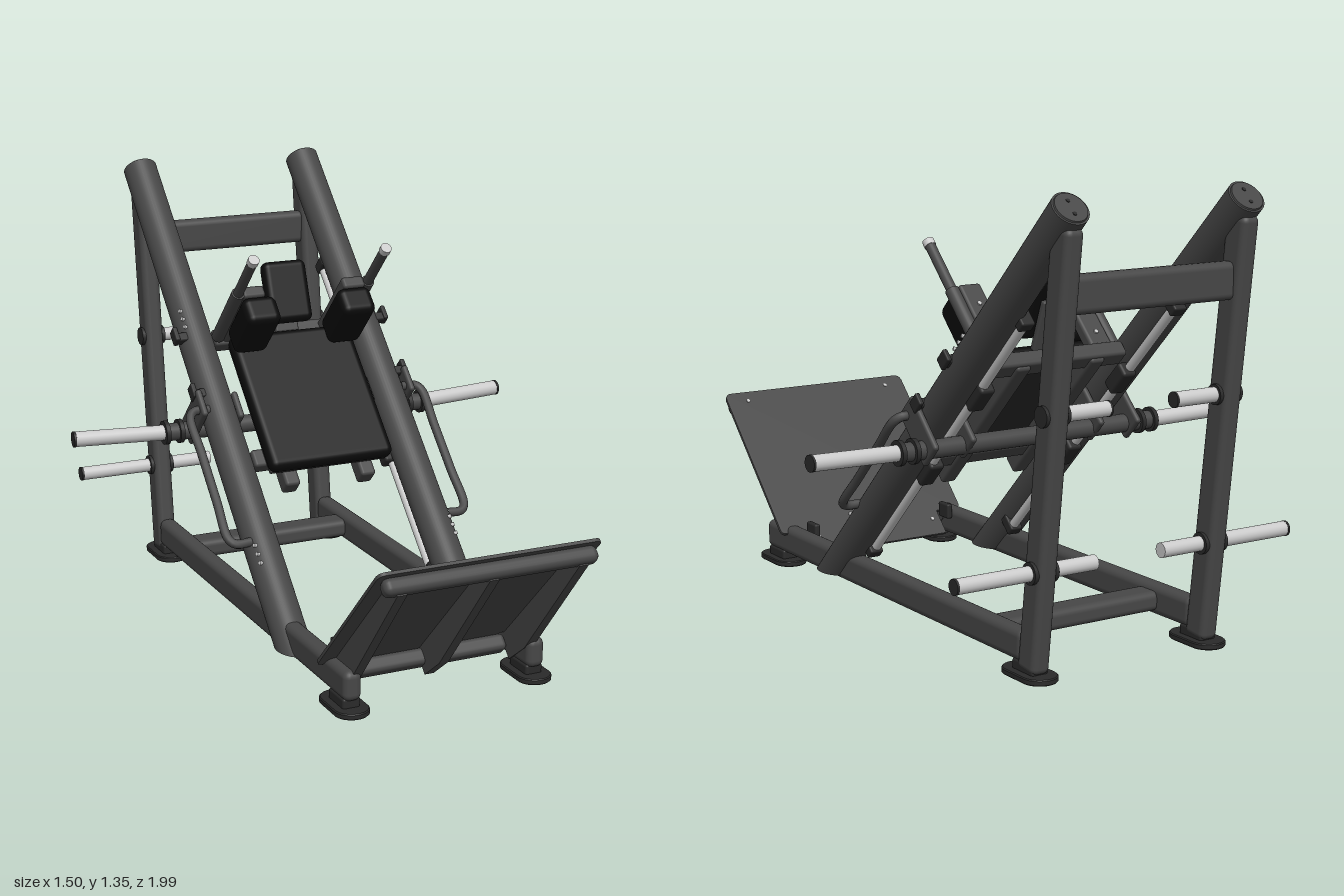
import * as THREE from 'three';
import { RoundedBoxGeometry } from 'three/addons/geometries/RoundedBoxGeometry.js';

const material = (name, color) => Object.assign(new THREE.MeshStandardMaterial({ color }), { name });

export function createModel() {
  const frame = material('charcoalFrame', 0x474747);
  const dark = material('darkFittings', 0x2a2a2a);
  const pad = material('blackUpholstery', 0x0b0b0b);
  const steel = material('brightSteel', 0xcacaca);
  const model = new THREE.Group();
  model.name = 'legPressMachine';
  const V = (x, y, z) => new THREE.Vector3(x, y, z);

  const add = (parent, name, geo, mat, pos = [0, 0, 0], rx = 0) => {
    const m = new THREE.Mesh(geo, mat);
    m.name = name;
    m.position.set(...pos);
    m.rotation.x = rx;
    parent.add(m);
    return m;
  };
  // Rounded block given by its centre and size
  const block = (parent, name, mat, pos, size, r = 0.01, rx = 0) =>
    add(parent, name, new RoundedBoxGeometry(...size, 3, r), mat, pos, rx);
  // Round bar between two points
  const bar = (parent, name, mat, a, b, r, sides = 24) => {
    const p = V(...a), q = V(...b), d = q.clone().sub(p);
    const m = add(parent, name, new THREE.CylinderGeometry(r, r, d.length(), sides), mat);
    m.position.copy(p).add(q).multiplyScalar(0.5);
    m.quaternion.setFromUnitVectors(V(0, 1, 0), d.normalize());
    return m;
  };
  const group = (name, pos, rx) => {
    const g = new THREE.Group();
    g.name = name;
    g.position.set(...pos);
    g.rotation.x = rx;
    model.add(g);
    return g;
  };

  // Inclined frame of reference: y runs up the rails, z points out of the pad
  const incline = group('inclinedAssembly', [0, 0.05, 0.3], -Math.PI / 4);
  const railLength = 1.777;

  // Rail tube with its lower end cut level with the floor
  const railGeo = new THREE.CylinderGeometry(0.055, 0.055, railLength, 40);
  railGeo.translate(0, railLength / 2, 0);
  const rp = railGeo.attributes.position;
  for (let i = 0; i < rp.count; i++) if (rp.getY(i) < 0.001) rp.setY(i, -rp.getZ(i));

  // Oval foot outline
  const footShape = new THREE.Shape();
  footShape.absarc(0, 0.045, 0.05, 0, Math.PI);
  footShape.absarc(0, -0.045, 0.05, Math.PI, Math.PI * 2);
  const footGeo = new THREE.ExtrudeGeometry(footShape, {
    depth: 0.012, bevelEnabled: true, bevelSize: 0.003, bevelThickness: 0.003, bevelSegments: 1, curveSegments: 16 });
  footGeo.rotateX(-Math.PI / 2).translate(0, 0.003, 0);

  for (const s of [-1, 1]) {
    const x = s * 0.295;
    // Main frame
    add(incline, 'rail', railGeo, frame, [x, 0, 0]);
    add(incline, 'railCap', new THREE.CylinderGeometry(0.048, 0.05, 0.006, 32), frame, [x, railLength + 0.002, 0]);
    for (const h of [-0.022, 0.022])
      add(incline, 'capHole', new THREE.CylinderGeometry(0.006, 0.006, 0.004, 12), dark, [x, railLength + 0.005, h]);
    block(model, 'baseRail', frame, [x, 0.085, -0.03], [0.056, 0.092, 1.5], 0.022);
    const dy = 1.24, dz = -0.145;
    block(model, 'rearLeg', frame, [x, 0.02 + dy / 2, -0.8 + dz / 2], [0.06, Math.hypot(dy, dz), 0.085], 0.02, Math.atan2(dz, dy));
    for (const z of [0.655, -0.785]) {
      add(model, 'foot', footGeo, dark, [x, 0, z]);
      block(model, 'footMount', dark, [x, 0.03, z], [0.055, 0.035, 0.1], 0.008);
    }

    // Plate storage pegs on the rear legs
    bar(model, 'lowerStoragePeg', steel, [s * 0.115, 0.31, -0.835], [s * 0.57, 0.31, -0.835], 0.022);
    bar(model, 'lowerPegCap', dark, [s * 0.57, 0.31, -0.835], [s * 0.577, 0.31, -0.835], 0.023);
    bar(model, 'lowerPegCollar', dark, [s * 0.255, 0.31, -0.835], [s * 0.335, 0.31, -0.835], 0.032);
    bar(model, 'upperStoragePeg', steel, [s * 0.115, 0.75, -0.885], [x, 0.75, -0.885], 0.022);
    bar(model, 'upperPegCap', dark, [s * 0.11, 0.75, -0.885], [s * 0.116, 0.75, -0.885], 0.023);
    bar(model, 'upperPegCollar', dark, [s * 0.255, 0.75, -0.885], [s * 0.335, 0.75, -0.885], 0.03);

    // Loading pegs on the carriage
    bar(model, 'loadingPeg', steel, [s * 0.44, 0.567, -0.347], [s * 0.74, 0.576, -0.365], 0.024);
    bar(model, 'loadingPegCap', dark, [s * 0.74, 0.576, -0.365], [s * 0.747, 0.576, -0.3655], 0.025);
    bar(model, 'loadingCollar', frame, [s * 0.32, 0.565, -0.345], [s * 0.45, 0.567, -0.347], 0.028);
    for (const c of [0.395, 0.442])
      bar(model, 'collarRing', dark, [s * c, 0.567, -0.347], [s * (c + 0.014), 0.567, -0.347], 0.038);
    block(incline, 'axleBracket', frame, [s * 0.36, 0.835, -0.035], [0.02, 0.095, 0.19], 0.009);
    block(incline, 'axleArm', frame, [s * 0.228, 0.835, -0.05], [0.02, 0.095, 0.14], 0.009);

    // Guide rods below the rails, with end mounts and carriage bearings
    bar(incline, 'guideRod', steel, [s * 0.258, 0.2, -0.055], [s * 0.258, 1.36, -0.055], 0.015);
    for (const y of [0.2, 1.36]) block(incline, 'rodMount', dark, [s * 0.262, y, -0.045], [0.045, 0.035, 0.06], 0.006);
    for (const y of [0.64, 1.02]) block(incline, 'rodBearing', dark, [s * 0.25, y, -0.055], [0.05, 0.1, 0.05], 0.01);

    // Safety stop handle beside the rail
    const path = new THREE.CatmullRomCurve3([
      V(0.335, 0.35, 0.03), V(0.385, 0.35, 0.03), V(0.403, 0.37, 0.03), V(0.403, 0.5, 0.03),
      V(0.403, 0.67, 0.03), V(0.403, 0.8, 0.03), V(0.385, 0.82, 0.03), V(0.335, 0.82, 0.03),
    ].map((p) => V(p.x * s, p.y, p.z)));
    add(incline, 'stopHandle', new THREE.TubeGeometry(path, 48, 0.014, 12), frame);

    // Stop catches and bolts on the rail
    for (const y of [0.88, 1.09]) {
      block(incline, 'stopCatch', dark, [s * 0.345, y, 0.025], [0.06, 0.03, 0.03], 0.006);
      block(incline, 'catchTab', dark, [s * 0.367, y + 0.01, 0.025], [0.016, 0.05, 0.04], 0.005);
    }
    for (const y of [0.27, 0.3, 0.33, 1.12, 1.15, 1.18])
      bar(incline, 'railBolt', steel, [s * 0.325, y, 0.04], [s * 0.337, y, 0.046], 0.006, 10);

    // Shoulder pad, its bracket and hand grip
    block(incline, 'shoulderPad', pad, [s * 0.163, 1.02, 0.18], [0.115, 0.096, 0.2], 0.025);
    block(incline, 'shoulderBracket', frame, [s * 0.172, 1.087, 0.13], [0.075, 0.04, 0.29], 0.01);
    for (const n of [0.06, 0.2])
      bar(incline, 'bracketBolt', steel, [s * 0.172, 1.1, n], [s * 0.172, 1.111, n], 0.007, 10);
    bar(incline, 'gripSleeve', frame, [s * 0.224, 1.085, 0.02], [s * 0.224, 1.085, 0.27], 0.021);
    bar(incline, 'handGrip', frame, [s * 0.224, 1.085, 0.27], [s * 0.224, 1.085, 0.435], 0.016);
    bar(incline, 'gripTip', steel, [s * 0.224, 1.085, 0.435], [s * 0.224, 1.085, 0.455], 0.018);
    block(incline, 'carriageBeam', frame, [s * 0.13, 0.82, -0.015], [0.05, 0.58, 0.06], 0.01);
  }

  // Cross members
  block(model, 'upperCrossBar', frame, [0, 1.075, -0.92], [0.56, 0.108, 0.052], 0.02);
  block(model, 'baseCrossBar', frame, [0, 0.085, -0.585], [0.56, 0.06, 0.092], 0.02);
  bar(model, 'loadingAxle', frame, [-0.33, 0.565, -0.345], [0.33, 0.565, -0.345], 0.028);

  // Carriage and back pad
  for (const y of [0.64, 1.09]) block(incline, 'carriageCrossBar', frame, [0, y, -0.01], [0.47, 0.06, 0.05], 0.01);
  block(incline, 'backPadBoard', dark, [0, 0.81, 0.02], [0.4, 0.47, 0.014], 0.005);
  block(incline, 'backPad', pad, [0, 0.81, 0.053], [0.42, 0.49, 0.055], 0.024);

  // Head pad and its support
  block(model, 'headPad', pad, [0, 0.965, -0.418], [0.15, 0.2, 0.052], 0.022, -0.35);
  block(model, 'headPadSupport', frame, [0, 0.91, -0.442], [0.08, 0.16, 0.02], 0.006, -0.35);

  // Foot platform: y runs up the plate, z points to its underside
  const platform = group('footPlatform', [0, 0.05, 0.505], Math.PI / 4);
  const outline = new THREE.Shape();
  outline.moveTo(-0.25, 0);
  outline.lineTo(0.25, 0);
  outline.lineTo(0.25, 0.09);
  outline.lineTo(0.33, 0.09);
  outline.quadraticCurveTo(0.345, 0.09, 0.345, 0.11);
  outline.lineTo(0.345, 0.63);
  outline.quadraticCurveTo(0.345, 0.657, 0.32, 0.657);
  outline.lineTo(-0.32, 0.657);
  outline.quadraticCurveTo(-0.345, 0.657, -0.345, 0.63);
  outline.lineTo(-0.345, 0.11);
  outline.quadraticCurveTo(-0.345, 0.09, -0.33, 0.09);
  outline.lineTo(-0.25, 0.09);
  add(platform, 'footPlate', new THREE.ExtrudeGeometry(outline, { depth: 0.01, bevelEnabled: false }), frame);
  block(platform, 'platformTopTube', frame, [0, 0.618, 0.03], [0.66, 0.05, 0.05], 0.02);
  block(platform, 'platformBottomBar', frame, [0, 0.07, 0.035], [0.52, 0.05, 0.05], 0.015);

  // Tapered ribs under the plate
  const rib = new THREE.Shape([[0, 0.06], [0, 0.62], [0.054, 0.62], [0.095, 0.17], [0.08, 0.06]].map((p) => new THREE.Vector2(...p)));
  const ribGeo = new THREE.ExtrudeGeometry(rib, { depth: 0.03, bevelEnabled: false });
  ribGeo.translate(0, 0, -0.015).rotateY(-Math.PI / 2);
  for (const x of [-0.28, 0, 0.28]) add(platform, 'platformRib', ribGeo, frame, [x, 0, 0.005]);
  for (const [x, y] of [[-0.27, 0.62], [0.27, 0.62], [-0.22, 0.06], [0.22, 0.06], [0, 0.34]])
    bar(platform, 'plateBolt', steel, [x, y, 0.002], [x, y, -0.003], 0.006, 10);
  for (const x of [-0.255, 0.255]) block(model, 'platformHinge', dark, [x, 0.125, 0.52], [0.02, 0.05, 0.06], 0.006);

  return model;
}
